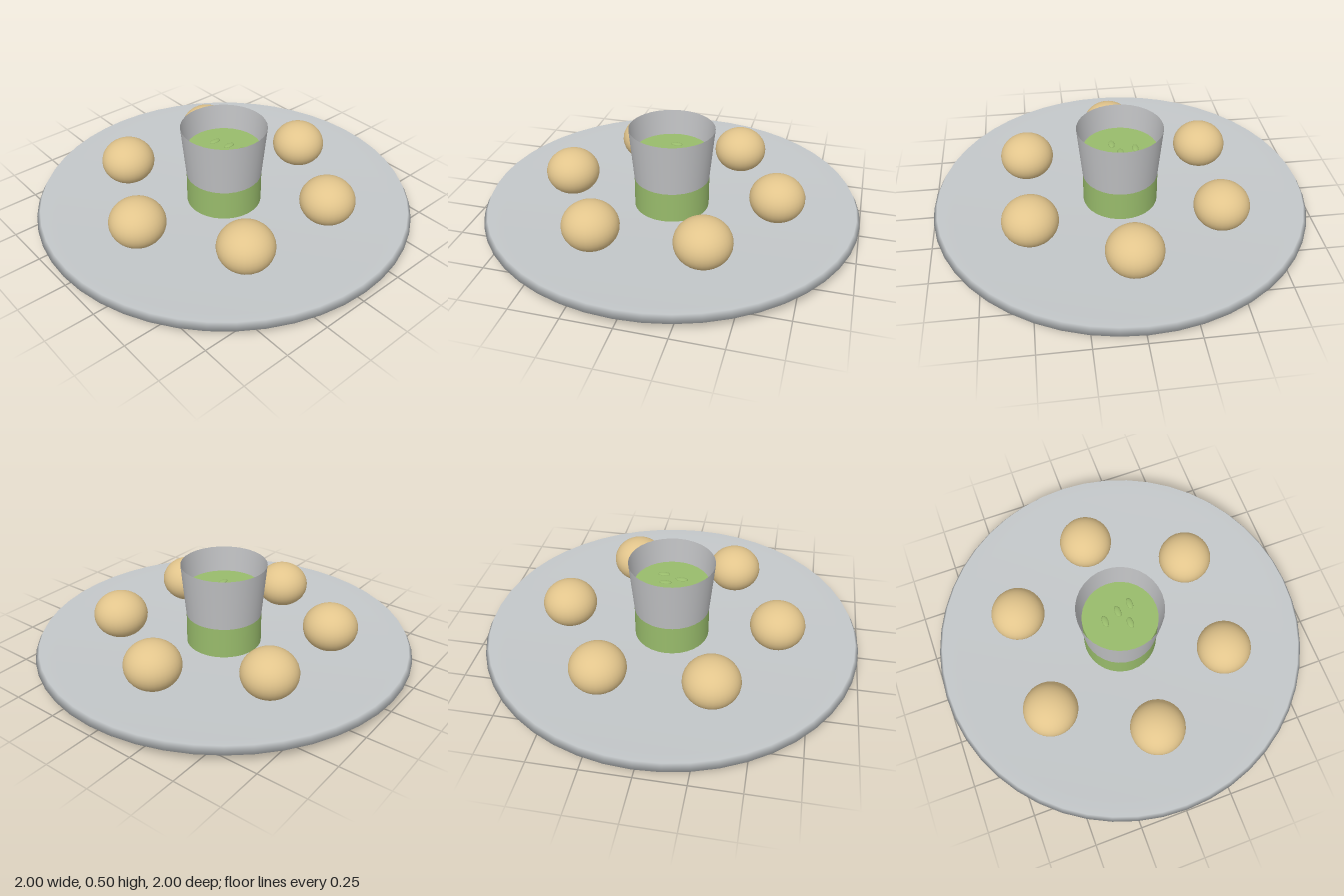
import * as THREE from 'three';

const material = (name, color, extra = {}) => {
  const m = new THREE.MeshStandardMaterial({ color, ...extra });
  m.name = name;
  return m;
};

export function createModel() {
  const model = new THREE.Group();
  model.name = 'servingPlatter';

  const plateGrey = material('plate grey', 0xc3c7c9);
  const cupGrey = material('cup grey', 0xc0c1c3, { side: THREE.DoubleSide });
  const dipGreen = material('dip green', 0x98bb6b);
  const doughTan = material('dough tan', 0xe2c58c);

  const add = (name, geometry, mat, x, y, z) => {
    const mesh = new THREE.Mesh(geometry, mat);
    mesh.name = name;
    mesh.position.set(x, y, z);
    model.add(mesh);
    return mesh;
  };

  // Shallow dished plate, turned from a closed profile
  const profile = [
    [0, 0], [0.9, 0], [1, 0.055], [0.98, 0.09], [0.9, 0.055], [0, 0.048],
  ].map(([r, y]) => new THREE.Vector2(r, y));
  add('plate', new THREE.LatheGeometry(profile, 48), plateGrey, 0, 0, 0);

  // Thin open cup, wider at the rim
  add('cup', new THREE.CylinderGeometry(0.226, 0.184, 0.455, 32, 1, true), cupGrey, 0, 0.2675, 0);

  // Dip column, wider than the cup near its base
  add('dip', new THREE.CylinderGeometry(0.2, 0.2, 0.32, 32), dipGreen, 0, 0.203, 0);

  // Herb flecks lying on the dip
  const fleck = new THREE.SphereGeometry(1, 12, 8);
  [[0.005, -0.08], [0.035, 0], [-0.045, 0.04], [0.055, 0.073]].forEach(([x, z], i) => {
    add(`herbFleck${i + 1}`, fleck, dipGreen, x, 0.363, z).scale.set(0.033, 0.008, 0.017);
  });

  // Ring of six slightly flattened dough balls
  const ball = new THREE.SphereGeometry(0.145, 32, 20);
  for (let i = 0; i < 6; i++) {
    const a = (i * Math.PI) / 3;
    add(`doughBall${i + 1}`, ball, doughTan, Math.cos(a) * 0.567, 0.163, Math.sin(a) * 0.567)
      .scale.y = 0.86;
  }

  return model;
}
